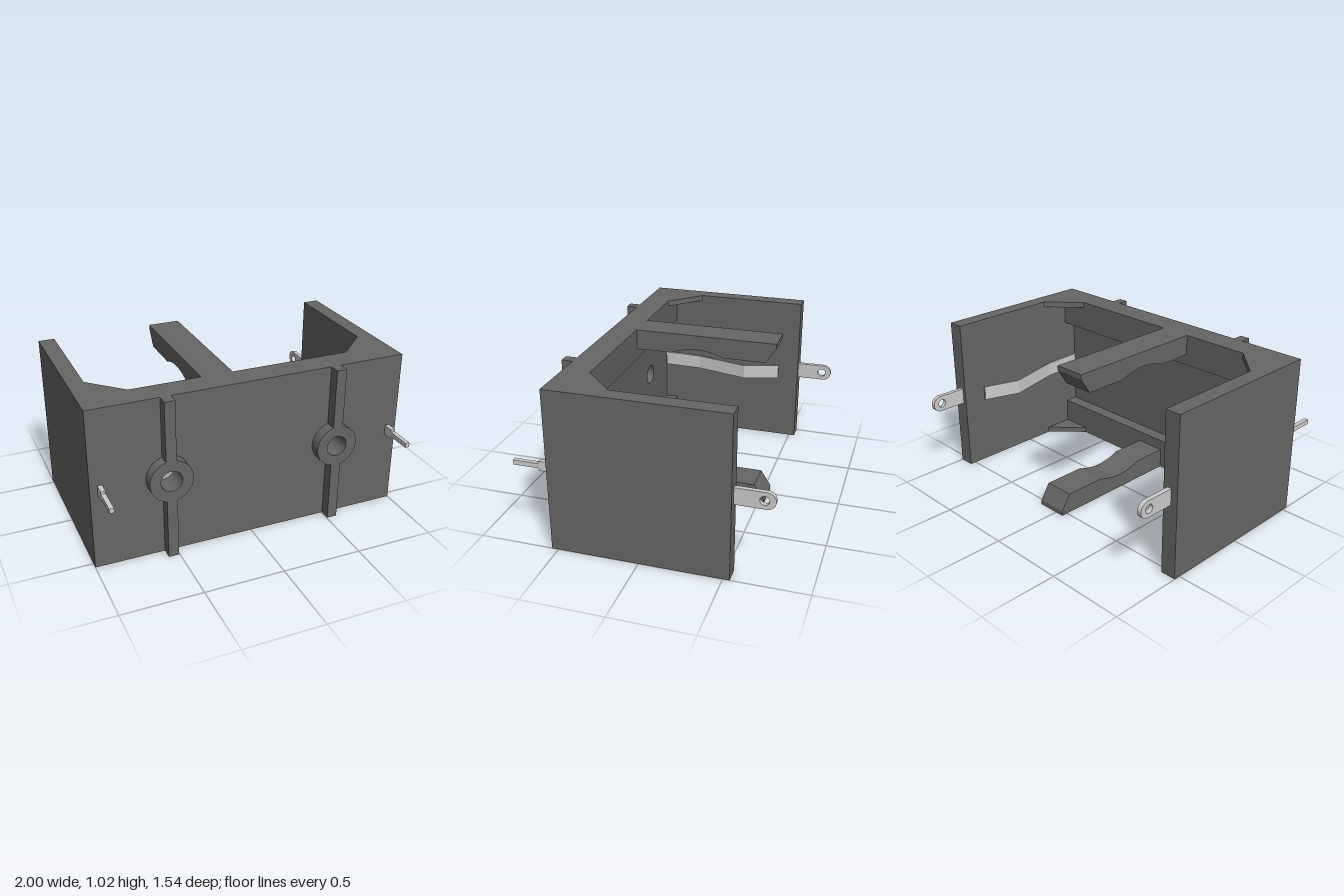
import * as THREE from 'three';

const H = 1.02, MID = 0.515;
const plastic = new THREE.MeshStandardMaterial({ color: 0x666666 });
const metal = new THREE.MeshStandardMaterial({ color: 0xcccccc });

export function createModel() {
  const model = new THREE.Group();

  const add = (name, geometry, material = plastic) => {
    const mesh = new THREE.Mesh(geometry, material);
    mesh.name = name;
    model.add(mesh);
    return mesh;
  };
  // Box given by its limits on each axis
  const box = (name, x0, x1, y0, y1, z0, z1, material) =>
    add(name, new THREE.BoxGeometry(x1 - x0, y1 - y0, z1 - z0)
      .translate((x0 + x1) / 2, (y0 + y1) / 2, (z0 + z1) / 2), material);
  const extrude = (shape, depth) =>
    new THREE.ExtrudeGeometry(shape, { depth, bevelEnabled: false, curveSegments: 32 });
  // Profile drawn in (z, y), extruded between x0 and x1
  const sideProfile = (shape, x0, x1) =>
    extrude(shape, x1 - x0).rotateY(-Math.PI / 2).translate(x1, 0, 0);
  // Profile drawn in (x, z), extruded between y0 and y1
  const planProfile = (shape, y0, y1) =>
    extrude(shape, y1 - y0).rotateX(Math.PI / 2).translate(0, y1, 0);
  const polygon = (pts) => new THREE.Shape(pts.map(([a, b]) => new THREE.Vector2(a, b)));
  const circle = (x, y, r) => new THREE.Path().absarc(x, y, r, 0, Math.PI * 2, true);

  // Front wall with two screw holes
  const holeX = 0.537, holeR = 0.066, bossR = 0.133;
  const wall = polygon([[-1, 0], [1, 0], [1, H], [-1, H]]);
  wall.holes.push(circle(-holeX, MID, holeR), circle(holeX, MID, holeR));
  add('frontWall', extrude(wall, 0.08).translate(0, 0, 0.46));

  // Thicker bands along the top and bottom of the front wall
  box('bottomBand', -0.9, 0.9, 0, 0.2, 0.375, 0.46);
  box('topBand', -0.9, 0.9, H - 0.2, H, 0.375, 0.46);

  for (const s of [-1, 1]) {
    // Side wall
    box('sideWall', Math.min(s * 0.9, s), Math.max(s * 0.9, s), 0, H, -0.54, 0.46);

    // Thin corner gussets
    const gusset = polygon([[s * 0.9, 0.18], [s * 0.9, 0.375], [s * 0.7, 0.375]]);
    add('bottomGusset', planProfile(gusset, 0, 0.037));
    add('topGusset', planProfile(gusset, H - 0.037, H));

    // Ring boss and the ribs above and below it
    const ring = new THREE.Shape().absarc(s * holeX, MID, bossR, 0, Math.PI * 2, false);
    ring.holes.push(circle(s * holeX, MID, holeR));
    add('screwBoss', extrude(ring, 0.07).translate(0, 0, 0.54));
    const rx = s * holeX, w = 0.032;
    box('lowerRib', rx - w, rx + w, 0, MID - bossR + 0.005, 0.54, 0.61);
    box('upperRib', rx - w, rx + w, MID + bossR - 0.005, H, 0.54, 0.61);

    // Bent contact spring against the inside of the side wall
    const path = [[0.86, -0.405], [0.785, -0.17], [0.876, 0.19], [0.888, 0.455]];
    const strip = [...path, ...path.map(([x, z]) => [x + 0.011, z]).reverse()];
    add('contactSpring', planProfile(polygon(strip.map(([x, z]) => [s * x, z])), 0.465, 0.56), metal);

    // Rear solder tab with a rounded, drilled end
    const tx0 = s * 0.94 - 0.014, tx1 = s * 0.94 + 0.014, tabR = 0.052, endZ = -0.722;
    const tab = new THREE.Shape();
    tab.moveTo(-0.54, MID - tabR);
    tab.lineTo(-0.54, MID + tabR);
    tab.lineTo(endZ, MID + tabR);
    tab.absarc(endZ, MID, tabR, Math.PI / 2, Math.PI * 1.5, false);
    tab.holes.push(circle(-0.71, MID, 0.027));
    add('solderTab', sideProfile(tab, tx0, tx1), metal);

    // Stepped front pin
    const a = 0.031, b = 0.015;
    const pin = polygon([[0.54, MID - a], [0.61, MID - a], [0.61, MID - b], [0.77, MID - b],
      [0.77, MID + b], [0.61, MID + b], [0.61, MID + a], [0.54, MID + a]]);
    add('frontPin', sideProfile(pin, tx0, tx1), metal);
  }

  // Prongs with a bevelled tip and a shallow round cradle
  const prong = (name, x0, x1, flip) => {
    const thick = 0.13, cz = -0.03, half = 0.17, drop = MID - thick;
    const r = Math.hypot(drop, half), sweep = Math.atan2(half, drop);
    const pts = [[0.375, 0], [-0.54, 0], [-0.54, 0.03], [-0.475, thick]];
    for (let i = 0; i <= 16; i++) {
      const t = sweep * (i / 8 - 1);
      pts.push([cz + r * Math.sin(t), MID - r * Math.cos(t)]);
    }
    pts.push([0.375, thick]);
    add(name, sideProfile(polygon(pts.map(([z, y]) => [z, flip ? H - y : y])), x0, x1));
  };
  prong('topProng', -0.26, -0.06, true);
  prong('bottomProng', -0.06, 0.14, false);

  return model;
}
